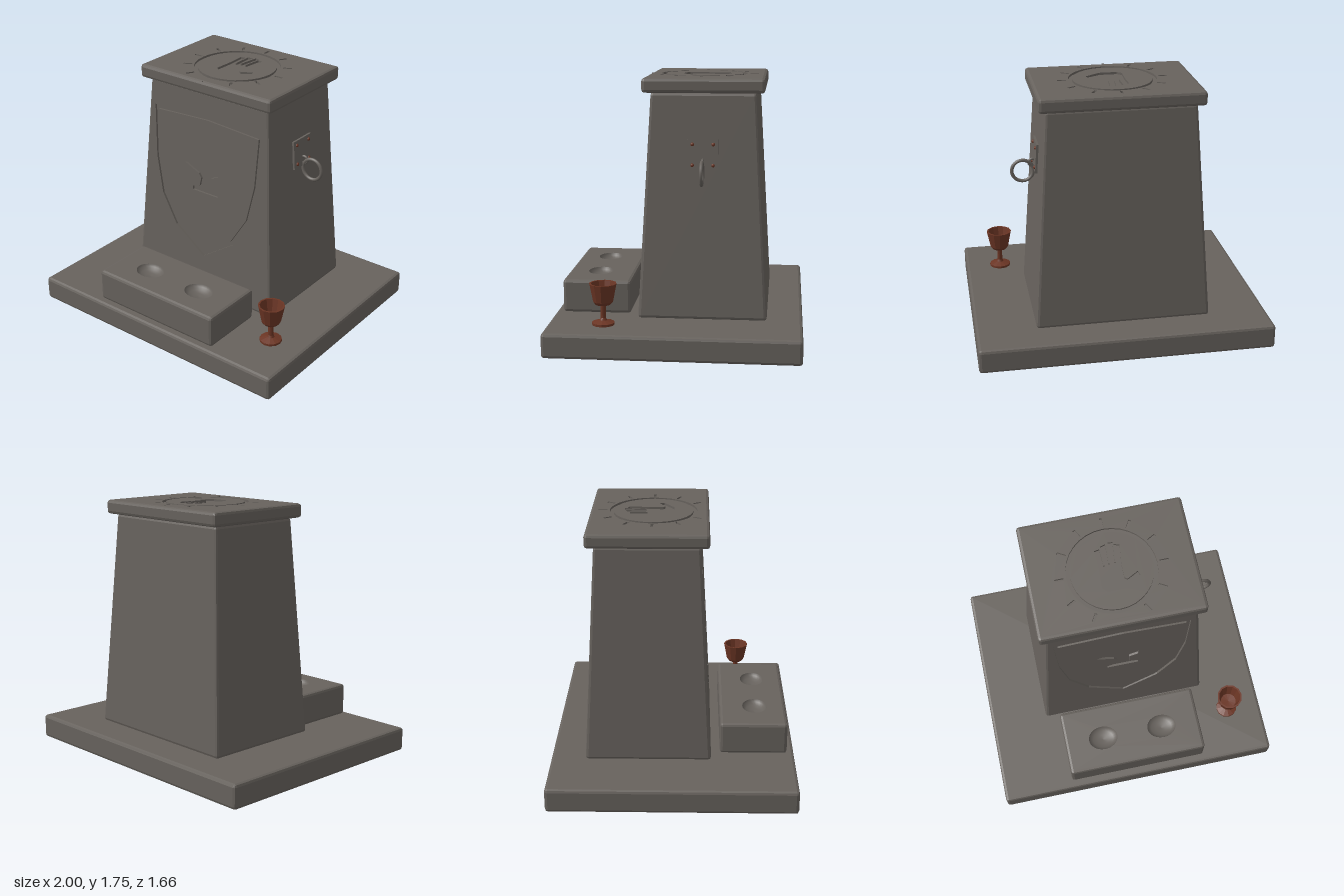
import * as THREE from 'three';
import { ConvexGeometry } from 'three/addons/geometries/ConvexGeometry.js';

const stone = new THREE.MeshStandardMaterial({ color: 0x67625d });
stone.name = 'stone';
const copper = new THREE.MeshStandardMaterial({ color: 0x6b3524 });
copper.name = 'copper';

const BEVEL = 0.02, DEPTH = 0.015;
const v2 = (pts) => pts.map(([x, y]) => new THREE.Vector2(x, y));
const lerp = THREE.MathUtils.lerp;

function add(parent, name, geometry, material = stone) {
  const mesh = new THREE.Mesh(geometry, material);
  mesh.name = name;
  parent.add(mesh);
  return mesh;
}

function flat(geometry) {
  const g = geometry.index ? geometry.toNonIndexed() : geometry;
  g.computeVertexNormals();
  return g;
}

// Box with rounded edges; openFace(v) leaves out one face, taper(v) bends the corners
function block([x0, x1], [y0, y1], [z0, z1], openFace, taper) {
  const pts = [], r = BEVEL;
  const dirs = [[1, 0, 0], [0, 1, 0], [0, 0, 1], [1, 1, 0], [0, 1, 1], [1, 0, 1], [1, 1, 1]];
  for (const sx of [-1, 1]) for (const sy of [-1, 1]) for (const sz of [-1, 1])
    for (const d of dirs) {
      const n = new THREE.Vector3(...d).normalize().multiplyScalar(r);
      pts.push(new THREE.Vector3(
        (sx > 0 ? x1 - r : x0 + r) + sx * n.x,
        (sy > 0 ? y1 - r : y0 + r) + sy * n.y,
        (sz > 0 ? z1 - r : z0 + r) + sz * n.z));
    }
  const p = new ConvexGeometry(pts).attributes.position, out = [];
  for (let i = 0; i < p.count; i += 3) {
    const tri = [0, 1, 2].map((k) => new THREE.Vector3().fromBufferAttribute(p, i + k));
    if (openFace && tri.every(openFace)) continue;
    for (const v of tri) {
      if (taper) taper(v);
      out.push(v.x, v.y, v.z);
    }
  }
  const g = new THREE.BufferGeometry();
  g.setAttribute('position', new THREE.Float32BufferAttribute(out, 3));
  g.computeVertexNormals();
  return g;
}

// Flat panel facing +z with sunken shapes; each carving is { cut, island? }
function carvedPanel(name, outline, carvings) {
  const group = new THREE.Group();
  group.name = name;
  const slab = (label, shape) => add(group, label,
    new THREE.ExtrudeGeometry(shape, { depth: DEPTH, bevelEnabled: false }).translate(0, 0, -DEPTH));
  const face = new THREE.Shape(v2(outline));
  for (const { cut, island } of carvings) {
    face.holes.push(new THREE.Path(v2(cut)));
    if (island) slab(name + 'Inner', new THREE.Shape(v2(island)));
  }
  slab(name + 'Face', face);
  add(group, name + 'Floor', new THREE.ShapeGeometry(new THREE.Shape(v2(outline))).translate(0, 0, -DEPTH));
  return group;
}

const ellipse = (cx, cy, rx, ry, n) => Array.from({ length: n }, (_, i) => {
  const a = (i / n) * Math.PI * 2;
  return [cx + rx * Math.cos(a), cy + ry * Math.sin(a)];
});
const rect = (x0, x1, y0, y1) => [[x0, y0], [x1, y0], [x1, y1], [x0, y1]];
// Closes a half outline by mirroring it across x = 0
const mirrored = (half) => [...half,
  ...half.filter(([x]) => x > 0).reverse().map(([x, y]) => [-x, y])];

function makePillar() {
  const group = new THREE.Group();
  group.name = 'pillar';
  const y0 = 0.165, y1 = 1.655;
  const t = (y) => (y - y0) / (y1 - y0);
  const sx = (y) => lerp(1, 0.495 / 0.595, t(y));
  add(group, 'pillarBody', block([-0.595, 0.595], [y0, y1], [-0.595, 0.26],
    (v) => v.z > 0.26 - 1e-5,
    (v) => {
      v.x *= sx(v.y);
      v.z = lerp(v.z, -0.51 + (v.z + 0.595) * (0.69 / 0.855), t(v.y));
    }));

  // Leaning front with a grooved shield and a sunken anvil
  const lean = Math.atan(0.08 / (y1 - y0));
  const onFace = (pts) => pts.map(([x, y]) => [x, (y - y0) / Math.cos(lean)]);
  const lo = y0 + BEVEL, hi = y1 - BEVEL, w = 0.595 - BEVEL;
  const outline = [[-w * sx(lo), lo], [w * sx(lo), lo], [w * sx(hi), hi], [-w * sx(hi), hi]];
  const shieldOuter = mirrored([[0, 0.44], [0.25, 0.61], [0.38, 0.82], [0.437, 1.09], [0.457, 1.465], [0, 1.49]]);
  const shieldInner = mirrored([[0, 0.47], [0.232, 0.632], [0.355, 0.83], [0.41, 1.09], [0.428, 1.437], [0, 1.46]]);
  const anvil = [[-0.18, 1.11], [-0.11, 1.135], [0.108, 1.135], [0.108, 1.075], [0.045, 1.05], [0.045, 0.975],
    [0.108, 0.95], [0.108, 0.925], [-0.108, 0.925], [-0.108, 0.95], [-0.05, 0.97], [-0.038, 1.03],
    [-0.06, 1.06], [-0.11, 1.08]];
  const panel = carvedPanel('shieldPanel', onFace(outline),
    [{ cut: onFace(shieldOuter), island: onFace(shieldInner) }]);
  // The inside of the shield is cut again for the anvil
  const inner = panel.getObjectByName('shieldPanelInner');
  const shape = new THREE.Shape(v2(onFace(shieldInner)));
  shape.holes.push(new THREE.Path(v2(onFace(anvil))));
  inner.geometry = new THREE.ExtrudeGeometry(shape, { depth: DEPTH, bevelEnabled: false }).translate(0, 0, -DEPTH);
  panel.position.set(0, y0, 0.26);
  panel.rotation.x = -lean;
  group.add(panel);
  return group;
}

function makeCap() {
  const group = new THREE.Group();
  group.name = 'cap';
  add(group, 'capSlab', block([-0.545, 0.545], [1.655, 1.75], [-0.565, 0.235], (v) => v.y > 1.75 - 1e-5));
  // Sunken ring, twelve rays and an open hand
  const cy = 0.14;
  const carvings = [];
  for (let i = 0; i < 12; i++) {
    const a = (i * Math.PI) / 6, c = Math.cos(a), s = Math.sin(a);
    carvings.push({ cut: rect(0.31, 0.37, -0.009, 0.009).map(([x, y]) => [x * c - y * s, cy + x * s + y * c]) });
  }
  const circle = (r) => ellipse(0, cy, r, r, 32);
  carvings.push({ cut: circle(0.295), island: circle(0.268) });
  const hand = [[-0.055, 0], [0.065, 0], [0.17, 0.072], [0.16, 0.102], [0.085, 0.062], [0.068, 0.075],
    [0.068, 0.17], [0.085, 0.305], [0.048, 0.315], [0.035, 0.19], [0.028, 0.19], [0.043, 0.33], [0.012, 0.335],
    [-0.005, 0.19], [-0.012, 0.19], [-0.006, 0.325], [-0.042, 0.315], [-0.038, 0.18], [-0.046, 0.18],
    [-0.05, 0.298], [-0.085, 0.292], [-0.08, 0.17], [-0.085, 0.03]];
  const panel = carvedPanel('sunPanel', rect(-0.525, 0.525, -0.215, 0.545), carvings);
  const shape = new THREE.Shape(v2(circle(0.268)));
  shape.holes.push(new THREE.Path(v2(hand)));
  panel.getObjectByName('sunPanelInner').geometry =
    new THREE.ExtrudeGeometry(shape, { depth: DEPTH, bevelEnabled: false }).translate(0, 0, -DEPTH);
  panel.rotation.x = -Math.PI / 2;
  panel.position.y = 1.75;
  group.add(panel);
  return group;
}

function makeKneeler() {
  const group = new THREE.Group();
  group.name = 'kneeler';
  const top = 0.39;
  add(group, 'kneelerBlock', block([-0.495, 0.495], [0.165, top], [0.32, 0.78], (v) => v.y > top - 1e-5));
  const face = new THREE.Shape(v2(rect(-0.475, 0.475, -0.76, -0.34)));
  const bowl = [0, 1, 2, 3, 4].map((i) => {
    const a = (i / 4) * Math.PI / 2;
    return [Math.cos(a), -0.045 * Math.sin(a)];
  });
  // Worn knee hollows
  for (const x of [-0.217, 0.217]) {
    face.holes.push(new THREE.Path(v2(ellipse(x, -0.565, 0.105, 0.085, 24))));
    const hollow = add(group, 'kneeHollow', new THREE.LatheGeometry(v2(bowl), 24));
    hollow.scale.set(0.105, 1, 0.085);
    hollow.position.set(x, top, 0.565);
  }
  add(group, 'kneelerTop', new THREE.ShapeGeometry(face).rotateX(-Math.PI / 2).translate(0, top, 0));
  return group;
}

function makeRingMount() {
  const group = new THREE.Group();
  group.name = 'ringMount';
  const plate = new THREE.Group();
  plate.name = 'mountPlate';
  plate.position.set(0.522, 1.255, -0.165);
  plate.rotation.z = Math.atan(0.1 / 1.49);
  add(plate, 'plate', new THREE.BoxGeometry(0.03, 0.2, 0.2));
  for (const y of [-0.068, 0.068]) for (const z of [-0.068, 0.068]) {
    const rivet = add(plate, 'rivet', new THREE.SphereGeometry(0.012, 10, 6), copper);
    rivet.position.set(0.015, y, z);
  }
  group.add(plate);
  // Small eye on the plate with the hanging ring through it
  const eye = add(group, 'eye', new THREE.TorusGeometry(0.025, 0.009, 8, 16));
  eye.position.set(0.55, 1.2, -0.165);
  const ring = add(group, 'ring', new THREE.TorusGeometry(0.073, 0.012, 8, 32));
  ring.position.set(0.617, 1.145, -0.165);
  return group;
}

export function createModel() {
  const model = new THREE.Group();
  model.name = 'stoneAltar';
  add(model, 'base', block([-1, 1], [0, 0.165], [-0.83, 0.83]));
  model.add(makePillar(), makeCap(), makeKneeler(), makeRingMount());

  // Goblet: foot, stem, then cup outside and inside
  const profile = [[0, 0.165], [0.075, 0.165], [0.075, 0.18], [0.025, 0.195], [0.018, 0.21], [0.018, 0.3],
    [0.05, 0.3], [0.066, 0.32], [0.09, 0.44], [0.078, 0.44], [0.055, 0.335], [0, 0.33]];
  const goblet = add(model, 'goblet', flat(new THREE.LatheGeometry(v2(profile), 12)), copper);
  goblet.position.set(0.75, 0, 0.465);
  return model;
}
